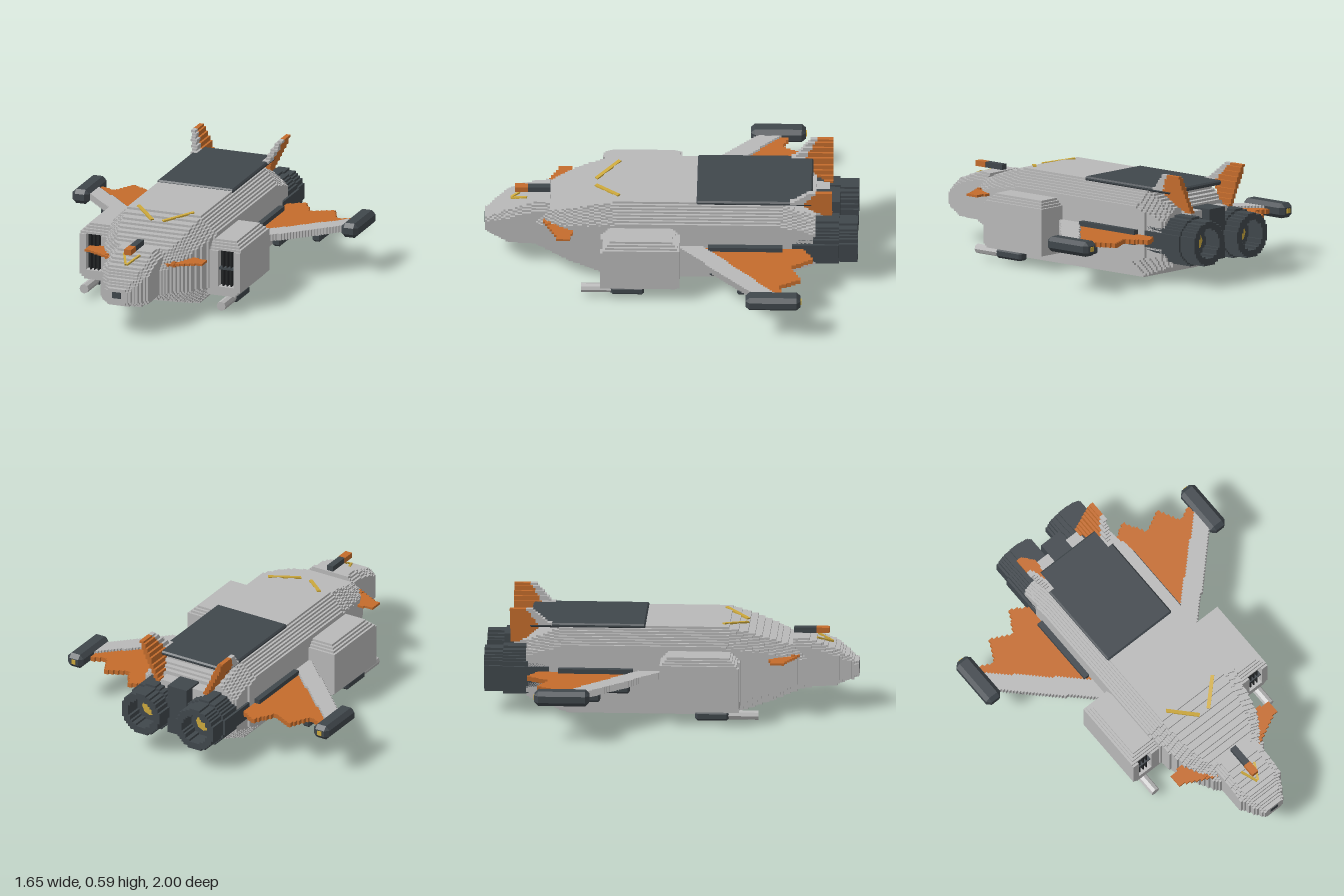
import * as THREE from 'three';
import { ConvexGeometry } from 'three/addons/geometries/ConvexGeometry.js';

const STEP = 0.0125;

const mat = (name, color, extra = {}) => {
  const m = new THREE.MeshStandardMaterial({ color, ...extra });
  m.name = name;
  return m;
};

// Piecewise linear lookup through [[key, value], ...] with rising keys
function lerpTable(table, k) {
  if (k <= table[0][0]) return table[0][1];
  for (let i = 1; i < table.length; i++) {
    const [k0, v0] = table[i - 1], [k1, v1] = table[i];
    if (k <= k1) return v0 + (v1 - v0) * (k - k0) / (k1 - k0);
  }
  return table[table.length - 1][1];
}

function inPoly(poly, u, v) {
  let hit = false;
  for (let i = 0, j = poly.length - 1; i < poly.length; j = i++) {
    const [a, b] = poly[i], [c, d] = poly[j];
    if ((b > v) !== (d > v) && u < (c - a) * (v - b) / (d - b) + a) hit = !hit;
  }
  return hit;
}

// Octagon section test: half width w, bottom b, top t, corner cuts cx by cy
function inOctagon(x, y, w, b, t, cx, cy) {
  const ax = Math.abs(x);
  if (ax > w || y < b || y > t) return false;
  const edge = Math.min(y - b, t - y);
  return (w - ax) / cx + edge / cy >= 1;
}

// Stepped solid: all grid cells whose centre passes the test, faces merged in runs
function stepped(min, max, inside) {
  const lo = min.map(v => Math.floor(v / STEP) - 1);
  const n = max.map((v, i) => Math.ceil(v / STEP) + 1 - lo[i]);
  const cells = new Uint8Array(n[0] * n[1] * n[2]);
  const at = p => p.some((v, i) => v < 0 || v >= n[i]) ? 0 : cells[(p[0] * n[1] + p[1]) * n[2] + p[2]];
  const mid = (v, i) => (v + lo[i] + 0.5) * STEP;
  for (let x = 0, k = 0; x < n[0]; x++)
    for (let y = 0; y < n[1]; y++)
      for (let z = 0; z < n[2]; z++, k++) cells[k] = inside(mid(x, 0), mid(y, 1), mid(z, 2)) ? 1 : 0;
  const pos = [];
  for (let a = 0; a < 3; a++) for (const dir of [1, -1]) {
    const r = a === 2 ? 0 : 2, q = 3 - a - r;
    const flip = ((a + 1) % 3 === q) !== (dir > 0);
    const p = [0, 0, 0];
    const open = () => {
      if (!at(p)) return false;
      const o = [...p];
      o[a] += dir;
      return !at(o);
    };
    for (let i = 0; i < n[a]; i++) for (let j = 0; j < n[q]; j++) {
      let start = -1;
      for (let k = 0; k <= n[r]; k++) {
        p[a] = i; p[q] = j; p[r] = k;
        const isOpen = k < n[r] && open();
        if (isOpen && start < 0) start = k;
        if (!isOpen && start >= 0) {
          const corner = (u, v) => {
            const c = [0, 0, 0];
            c[a] = i + (dir > 0 ? 1 : 0); c[q] = u; c[r] = v;
            return c.map((w, m) => (w + lo[m]) * STEP);
          };
          const c = [corner(j, start), corner(j + 1, start), corner(j + 1, k), corner(j, k)];
          if (flip) c.reverse();
          for (const m of [0, 1, 2, 0, 2, 3]) pos.push(...c[m]);
          start = -1;
        }
      }
    }
  }
  const g = new THREE.BufferGeometry();
  g.setAttribute('position', new THREE.Float32BufferAttribute(pos, 3));
  g.computeVertexNormals();
  return g;
}

// Box with all edges cut by c
function block(w, h, d, c) {
  const pts = [];
  for (const x of [-1, 1]) for (const y of [-1, 1]) for (const z of [-1, 1])
    pts.push(new THREE.Vector3(x * w / 2, y * (h / 2 - c), z * (d / 2 - c)),
      new THREE.Vector3(x * (w / 2 - c), y * h / 2, z * (d / 2 - c)),
      new THREE.Vector3(x * (w / 2 - c), y * (h / 2 - c), z * d / 2));
  return new ConvexGeometry(pts);
}

export function createModel() {
  const group = new THREE.Group();
  const grey = mat('hull grey', 0xb9b9b9), dark = mat('dark metal', 0x40474c);
  const orange = mat('orange', 0xc46c2c), yellow = mat('yellow', 0xcda93c, {});
  const black = mat('intake black', 0x222426);
  const add = (name, geo, material, x = 0, y = 0, z = 0) => {
    const m = new THREE.Mesh(geo, material);
    m.name = name;
    m.position.set(x, y, z);
    group.add(m);
    return m;
  };
  const box = (w, h, d) => new THREE.BoxGeometry(w, h, d);

  // Main hull and nose, as stepped octagon sections along z
  const hullW = [[-0.77, 0.28], [-0.6, 0.3], [0.3, 0.3], [0.36, 0.288], [0.55, 0.245], [0.73, 0.15]];
  const hullTop = [[-0.78, 0.39], [-0.58, 0.485], [0.3, 0.485], [0.47, 0.44], [0.65, 0.37], [0.73, 0.315]];
  const hullBottom = [[-0.77, 0.085], [-0.55, 0], [0.3, 0], [0.39, 0.025], [0.73, 0.135]];
  add('hull', stepped([-0.31, 0, -0.775], [0.31, 0.49, 0.73], (x, y, z) => {
    if (z < -0.775 || z > 0.73) return false;
    const w = lerpTable(hullW, z), t = lerpTable(hullTop, z), b = lerpTable(hullBottom, z);
    return inOctagon(x, y, w, b, t, w * 0.29, (t - b) * 0.2);
  }), grey);
  const noseTop = [[0.65, 0.405], [0.73, 0.395], [0.8, 0.375], [0.89, 0.335], [1, 0.255]];
  const noseBottom = [[0.73, 0.13], [0.87, 0.14], [1, 0.175]];
  const noseW = [[0.87, 0.14], [1, 0.06]];
  add('nose', stepped([-0.15, 0.12, 0.65], [0.15, 0.41, 1], (x, y, z) => {
    if (z < 0.65 || z > 1) return false;
    const w = lerpTable(noseW, z), t = lerpTable(noseTop, z), b = lerpTable(noseBottom, z);
    return inOctagon(x, y, w, b, t, w * 0.3, (t - b) * 0.16);
  }), grey);
  add('noseSensor', box(0.05, 0.035, 0.008), dark, 0, 0.227, 0.998);
  add('roofPanel', block(0.44, 0.025, 0.62, 0.008), dark, 0, 0.485, -0.447);
  add('noseGunBody', box(0.036, 0.03, 0.12), dark, 0, 0.42, 0.71);
  add('noseGunTip', box(0.04, 0.03, 0.07), orange, 0, 0.42, 0.805);
  add('rearDeck', box(0.29, 0.1, 0.09), grey, 0, 0.33, -0.8);
  add('engineBridge', box(0.12, 0.28, 0.16), dark, 0, 0.25, -0.822);

  // Wing plan outlines in x and z, tail fin outlines in z and y
  const spar = [[0.29, -0.02], [0.33, -0.06], [0.74, -0.455], [0.74, -0.58], [0.29, -0.165]];
  const flap = [[0.28, -0.15], [0.31, -0.18], [0.725, -0.56], [0.725, -0.62], [0.64, -0.58], [0.58, -0.7],
    [0.46, -0.645], [0.39, -0.765], [0.28, -0.7]];
  const canard = [[0.13, 0.7], [0.155, 0.69], [0.335, 0.605], [0.335, 0.54], [0.26, 0.525], [0.13, 0.55]];
  const finEdge = [[-0.62, 0.475], [-0.75, 0.587], [-0.775, 0.587], [-0.7, 0.475]];
  const fin = [[-0.7, 0.475], [-0.775, 0.587], [-0.857, 0.587], [-0.857, 0.38], [-0.81, 0.38]];

  for (const s of [1, -1]) {
    const side = s > 0 ? 'left' : 'right';
    // Stepped part described on the left and mirrored when s is -1
    const solid = (name, min, max, material, test) => add(side + name, stepped(
      [s > 0 ? min[0] : -max[0], min[1], min[2]], [s > 0 ? max[0] : -min[0], max[1], max[2]],
      (x, y, z) => test(s * x, y, z)), material);
    const slab = (name, poly, y0, y1, material) => solid(name, [0.1, y0, -0.8], [0.78, y1, 0.72], material,
      (x, y, z) => y > y0 && y < y1 && inPoly(poly, x, z));
    const finPart = (name, poly, material) => solid(name, [0.12, 0.36, -0.87], [0.3, 0.6, -0.6], material,
      (x, y, z) => Math.abs(x - 0.205 - 0.47 * (y - 0.49)) < 0.0135 && inPoly(poly, z, y));

    // Wing with pods
    slab('WingSpar', spar, 0.225, 0.2625, grey);
    slab('WingFlap', flap, 0.225, 0.25, orange);
    add(side + 'WingTipPod', block(0.098, 0.08, 0.295, 0.022), dark, s * 0.775, 0.245, -0.557);
    add(side + 'WingTipLight', box(0.025, 0.025, 0.006), yellow, s * 0.775, 0.245, -0.706);
    add(side + 'WingRootTank', box(0.06, 0.08, 0.4), dark, s * 0.302, 0.235, -0.4);
    add(side + 'InnerPod', block(0.05, 0.045, 0.22, 0.01), dark, s * 0.44, 0.203, -0.32);
    add(side + 'OuterPod', block(0.05, 0.045, 0.22, 0.01), dark, s * 0.61, 0.203, -0.47);

    // Canard with its pivot
    slab('Canard', canard, 0.3125, 0.325, orange);
    add(side + 'CanardPivot', box(0.02, 0.028, 0.02), orange, s * 0.192, 0.318, 0.652);

    // Tail fin
    finPart('FinEdge', finEdge, grey);
    finPart('Fin', fin, orange);

    // Side nacelle with a recessed intake
    solid('Nacelle', [0.28, 0.07, -0.05], [0.47, 0.38, 0.38], grey, (x, y, z) => {
      if (x < 0.28 || z < -0.05 || z > 0.38) return false;
      if (x > 0.335 && x < 0.427 && y > 0.12 && y < 0.322 && z > 0.325) return false;
      const back = z + 0.05, top = 0.37 - y, bottom = y - 0.07;
      if (back + Math.min(top, bottom) < 0.042 || (0.38 - z) + top < 0.05) return false;
      return inOctagon(x - 0.2, y, 0.26, 0.07, 0.37, 0.032, 0.035);
    });
    add(side + 'Intake', box(0.1, 0.21, 0.008), black, s * 0.381, 0.222, 0.33);
    for (let i = 0; i < 3; i++)
      add(side + 'IntakeVane', box(0.006, 0.2, 0.03), black, s * (0.36 + i * 0.022), 0.222, 0.345);
    add(side + 'IntakeBar', box(0.095, 0.012, 0.03), dark, s * 0.381, 0.225, 0.35);

    // Gun under the nacelle
    add(side + 'GunBody', block(0.066, 0.05, 0.18, 0.012), dark, s * 0.396, 0.05, 0.23);
    const barrel = new THREE.CylinderGeometry(0.026, 0.026, 0.17, 8).rotateX(Math.PI / 2).toNonIndexed();
    barrel.computeVertexNormals();
    add(side + 'GunBarrel', barrel, grey, s * 0.395, 0.052, 0.393);

    // Engine with hollow nozzle and glowing core
    solid('Engine', [0.03, 0.09, -1], [0.31, 0.37, -0.6], dark, (x, y, z) => {
      const r = Math.hypot(x - 0.17, y - 0.23);
      if (z < -1 || z > -0.65) return false;
      return z > -0.9 ? r < 0.13 : r < 0.119 && r > 0.08;
    });
    add(side + 'EngineCore', new THREE.CylinderGeometry(0.048, 0.048, 0.008, 8).rotateX(Math.PI / 2),
      yellow, s * 0.17, 0.23, -0.903);

    // Painted chevrons on the roof and nose
    const stripe = (name, x0, y0, z0, x1, y1, z1, w) => {
      const a = new THREE.Vector3(s * x0, y0, z0), b = new THREE.Vector3(s * x1, y1, z1);
      const m = add(side + name, box(w, 0.009, a.distanceTo(b)), yellow);
      m.position.copy(a).add(b).multiplyScalar(0.5);
      m.lookAt(b);
    };
    stripe('RoofStripe', 0.16, 0.491, 0.28, 0.03, 0.465, 0.405, 0.02);
    stripe('NoseStripe', 0.045, 0.389, 0.775, 0.003, 0.356, 0.86, 0.012);
  }
  return group;
}
